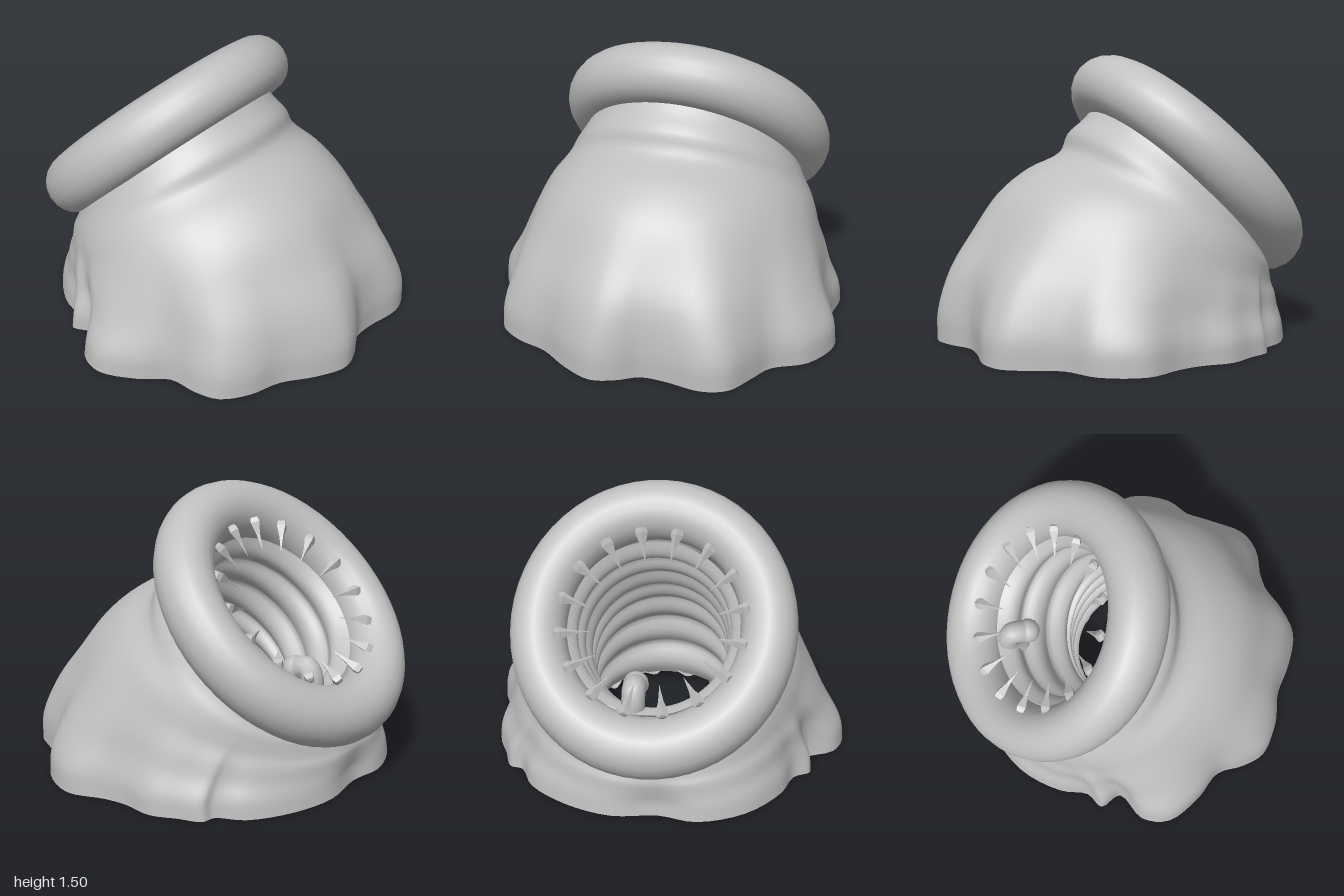
import * as THREE from 'three';

const V = (x, y, z) => new THREE.Vector3(x, y, z);

// Skin a stack of closed rings (each an array of Vector3)
function skin(rings) {
  const n = rings[0].length, pos = [], idx = [];
  rings.forEach(r => r.forEach(p => pos.push(p.x, p.y, p.z)));
  for (let j = 0; j < rings.length - 1; j++) {
    for (let i = 0; i < n; i++) {
      const a = j * n + i, b = j * n + (i + 1) % n;
      idx.push(a, b, b + n, a, b + n, a + n);
    }
  }
  const g = new THREE.BufferGeometry();
  g.setAttribute('position', new THREE.Float32BufferAttribute(pos, 3));
  g.setIndex(idx);
  g.computeVertexNormals();
  return g;
}

// Tilted oval at angle a; level = [front z, front y, back z, back y, half width]
function oval([fz, fy, bz, by, hw], a, size = 1) {
  const s = Math.sin(a) * size, c = Math.cos(a) * size;
  return V(hw * s, (fy + by + c * (fy - by)) / 2, (fz + bz + c * (fz - bz)) / 2);
}

export function createModel() {
  const root = new THREE.Group();
  root.name = 'pitCreature';
  const clay = new THREE.MeshStandardMaterial({ color: 0xc0c0c0, side: THREE.DoubleSide });
  clay.name = 'greyClay';
  const add = (geo, name, parent = root) => {
    const m = new THREE.Mesh(geo, clay);
    m.name = name;
    parent.add(m);
    return m;
  };

  // Wavy skirt outline on the ground, from the front round past the left (x, z)
  const outline = [
    [0, 0.97], [0.12, 0.9], [0.25, 0.9], [0.45, 0.93], [0.58, 0.88], [0.66, 0.74], [0.73, 0.61],
    [0.9, 0.5], [0.995, 0.28], [0.93, 0.08], [0.91, -0.05], [0.92, -0.22], [0.86, -0.36], [0.81, -0.48],
    [0.74, -0.5], [0.66, -0.64], [0.45, -0.78], [0.2, -0.85], [-0.05, -0.82], [-0.25, -0.85], [-0.5, -0.75],
    [-0.68, -0.55], [-0.74, -0.4], [-0.83, -0.34], [-0.79, -0.22], [-0.95, -0.13], [-1, 0.02],
    [-0.91, 0.22], [-0.8, 0.36], [-0.79, 0.52], [-0.75, 0.65], [-0.62, 0.75], [-0.45, 0.81],
    [-0.28, 0.93], [-0.12, 1],
  ].map(([x, z]) => V(x, 0, z));
  const N = 140;
  const base = new THREE.CatmullRomCurve3(outline, true).getPoints(N).slice(0, N);
  const angles = base.map(p => Math.atan2(p.x / 0.93, (p.z - 0.05) / 0.9));

  // Body levels as ovals, the last number being the share of the skirt waves
  const levels = [
    [0.95, 0, -0.85, 0, 0.93, 1],
    [0.95, 0.16, -0.84, 0.08, 0.92, 0.92],
    [0.9, 0.38, -0.84, 0.14, 0.87, 0.55],
    [0.79, 0.57, -0.84, 0.2, 0.83, 0.25],
    [0.65, 0.77, -0.83, 0.23, 0.78, 0.08],
    [0.48, 0.9, -0.82, 0.26, 0.74, 0.02],
    [0.29, 0.99, -0.81, 0.29, 0.69, 0],
    [0.25, 1.09, -0.80, 0.32, 0.65, 0],
    [0.16, 1.17, -0.80, 0.36, 0.61, 0],
    [0.05, 1.3, -0.82, 0.42, 0.57, 0],
  ];
  const columns = base.map((p, i) => {
    const wave = p.clone().sub(oval(levels[0], angles[i]));
    const pts = levels.map((l, k) => oval(l, angles[i]).addScaledVector(wave, l[5]).add(V(0.0025 * k, 0, 0)));
    return new THREE.CatmullRomCurve3(pts).getPoints(36);
  });
  add(skin(columns[0].map((_, j) => columns.map(col => col[j]))), 'body');

  // Ridged throat, bending down from the lip to an opening in the ground
  const throatPath = [
    [-0.05, 1.21, -0.71, 0.55, 0.46],
    [0.08, 1.03, -0.53, 0.42, 0.43],
    [0.24, 0.83, -0.34, 0.26, 0.41],
    [0.4, 0.62, -0.34, 0.18, 0.41],
    [0.5, 0.35, -0.33, 0.1, 0.41],
    [0.5, 0.06, -0.29, 0.03, 0.39],
  ];
  const front = new THREE.CatmullRomCurve3(throatPath.map(l => V(l[4], l[1], l[0])));
  const back = new THREE.CatmullRomCurve3(throatPath.map(l => V(l[4], l[3], l[2])));
  const throat = [];
  for (let j = 0; j <= 60; j++) {
    const t = j / 60, f = front.getPoint(t), b = back.getPoint(t);
    const ridge = 1 - 0.1 * Math.abs(Math.sin(t * Math.PI * 7));
    throat.push(angles.map(a => oval([f.z, f.y, b.z, b.y, f.x], a, ridge).add(V(0.03, 0, 0))));
  }
  add(skin(throat), 'throat');

  // Underside folding in to the ragged lower opening
  const inner = throat[60].map((p, i) => p.clone().add(
    V(0, 0.02 * Math.sin(i * 0.7), 0.03 * Math.sin(i * 0.45))));
  const middle = base.map((p, i) => p.clone().lerp(inner[i], 0.4).setY(0.012));
  add(skin([inner, middle, base]), 'underside');

  // Mouth group: local y is the mouth axis, tilted up and back
  const mouth = new THREE.Group();
  mouth.name = 'mouth';
  mouth.position.set(0.025, 0.9, -0.4);
  mouth.rotation.x = -Math.PI / 4;
  root.add(mouth);

  // Thick lip, slightly longer from top to bottom
  const lip = new THREE.TorusGeometry(0.6, 0.148, 20, 56);
  lip.rotateX(Math.PI / 2);
  lip.scale(1, 1.1, 1.065);
  lip.translate(0, -0.01, 0);
  add(lip, 'lip', mouth);

  // Ring of faceted teeth pointing inward
  const tooth = new THREE.LatheGeometry(
    [[0, -0.02], [0.026, -0.015], [0.033, 0.012], [0.014, 0.075], [0, 0.17]].map(p => new THREE.Vector2(...p)), 4
  ).toNonIndexed();
  tooth.computeVertexNormals();
  tooth.rotateZ(Math.PI / 2 + 0.28);
  tooth.translate(0.49, 0.1, 0);
  for (let i = 0; i < 16; i++) {
    add(tooth, 'tooth', mouth).rotation.y = (i + 0.5) * Math.PI / 8;
  }

  // Tongue curling up from the back wall
  const path = new THREE.CatmullRomCurve3([
    V(0.1, 0.42, -0.58), V(0.1, 0.56, -0.64), V(0.1, 0.64, -0.61), V(0.1, 0.62, -0.53)]);
  add(new THREE.TubeGeometry(path, 20, 0.062, 12), 'tongue');
  const tip = add(new THREE.SphereGeometry(0.068, 14, 10), 'tongueTip');
  tip.position.set(0.1, 0.62, -0.53);

  return root;
}
